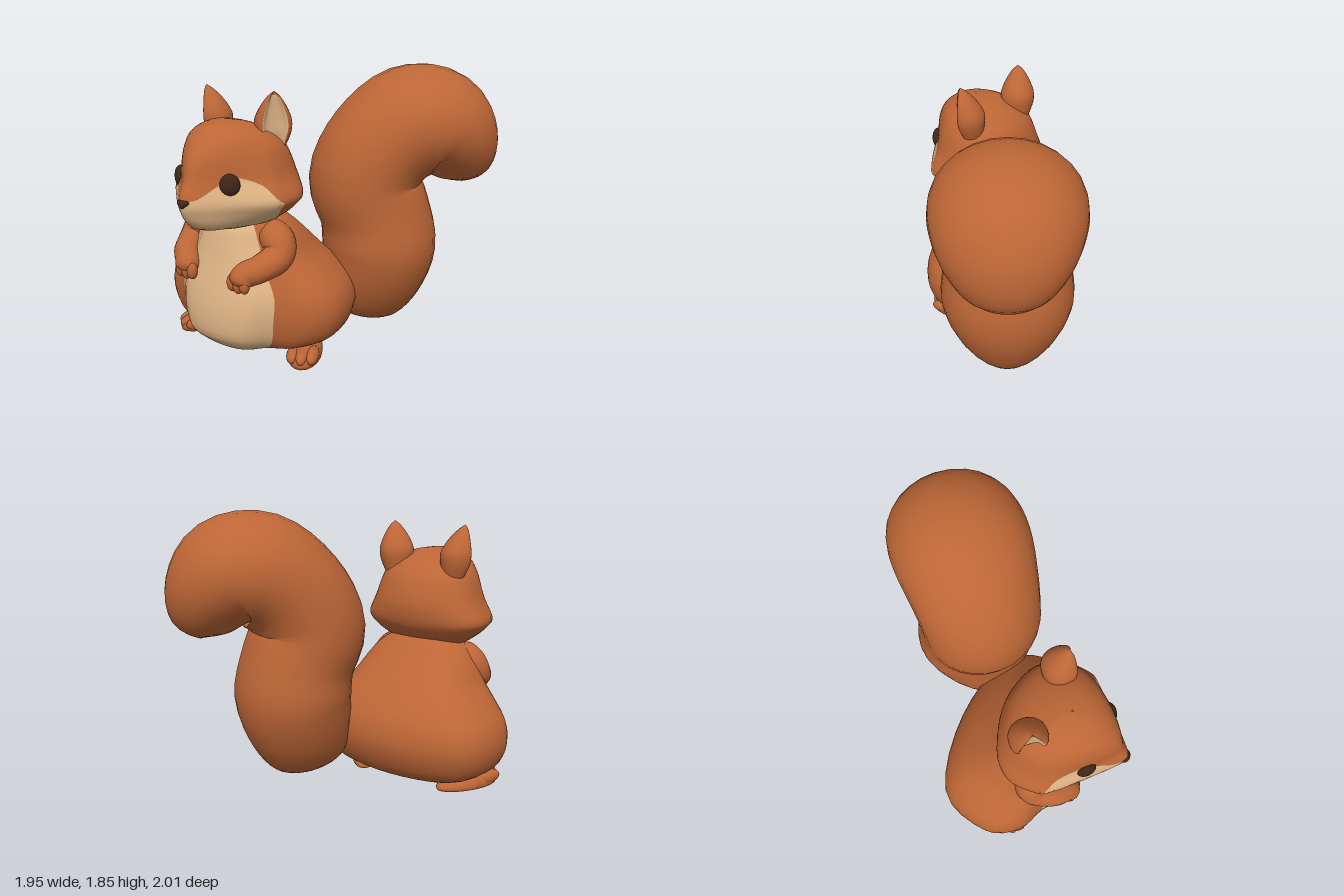
import * as THREE from 'three';

const CX = -0.295; // middle of the animal's body; the tail swings to its left
const mat = (name, color) => Object.assign(new THREE.MeshStandardMaterial({ color }), { name });

// Catmull-Rom through rows of numbers; t counts rows
function spline(keys, t, closed = false) {
  const n = keys.length;
  const i = closed ? Math.floor(t) : Math.min(Math.floor(t), n - 2);
  const f = t - i;
  const at = k => keys[closed ? (k + n) % n : Math.max(0, Math.min(n - 1, k))];
  const [a, b, c, d] = [at(i - 1), at(i), at(i + 1), at(i + 2)];
  return b.map((_, k) => b[k] + 0.5 * f * (c[k] - a[k] + f * (2 * a[k] - 5 * b[k] + 4 * c[k] - d[k]
    + f * (3 * (b[k] - c[k]) + d[k] - a[k]))));
}

// Smooth skin over rings; point(i, j) gives a position, second(i, j) picks the second material
function skin(cols, rows, point, second = () => false) {
  const pos = [], lists = [[], []];
  for (let j = 0; j <= rows; j++) for (let i = 0; i < cols; i++) pos.push(...point(i, j));
  for (let j = 0; j < rows; j++) for (let i = 0; i < cols; i++) {
    const a = j * cols + i, b = j * cols + (i + 1) % cols;
    lists[second(i, j) ? 1 : 0].push(a, b, b + cols, a, b + cols, a + cols);
  }
  const index = [...lists[0], ...lists[1]];
  // turn all faces outward
  const v = k => new THREE.Vector3().fromArray(pos, k * 3);
  let volume = 0;
  for (let k = 0; k < index.length; k += 3) volume += v(index[k]).dot(v(index[k + 1]).cross(v(index[k + 2])));
  if (volume < 0) for (let k = 0; k < index.length; k += 3) [index[k], index[k + 1]] = [index[k + 1], index[k]];
  const g = new THREE.BufferGeometry();
  g.setAttribute('position', new THREE.Float32BufferAttribute(pos, 3));
  g.setIndex(index);
  g.addGroup(0, lists[0].length, 0);
  g.addGroup(lists[0].length, lists[1].length, 1);
  g.computeVertexNormals();
  return g;
}

// Tube along keys [x, y, z, thickness, width]; width runs along the hint direction
function limb(keys, hint, cols, rows) {
  const at = t => spline(keys, t), last = keys.length - 1;
  const vec = t => new THREE.Vector3(...at(t).slice(0, 3));
  return skin(cols, rows, (i, j) => {
    const t = j / rows * last, k = at(t), a = i / cols * Math.PI * 2;
    const tangent = vec(Math.min(last, t + 0.5)).sub(vec(Math.max(0, t - 0.5))).normalize();
    const side = hint.clone().addScaledVector(tangent, -hint.dot(tangent)).normalize();
    const up = tangent.clone().cross(side);
    return vec(t).addScaledVector(side, Math.cos(a) * Math.max(0, k[4]))
      .addScaledVector(up, Math.sin(a) * Math.max(0, k[3])).toArray();
  });
}

// Closed outline from half an outline that runs front centre to back centre
const mirrorOutline = half => [...half, ...half.slice(1, -1).reverse().map(([x, z]) => [-x, z])];

function bodyGeometry() {
  // y, belly half width, belly edge z, front z, half width, side z, back z
  const rings = [
    [0.042, 0, 0.45, 0.45, 0, 0.45, 0.45], [0.048, 0.13, 0.49, 0.57, 0.19, 0.36, 0.2],
    [0.075, 0.23, 0.53, 0.65, 0.38, 0.3, 0.03], [0.12, 0.3, 0.57, 0.71, 0.53, 0.3, -0.06],
    [0.2, 0.35, 0.6, 0.78, 0.63, 0.3, -0.13], [0.34, 0.375, 0.62, 0.79, 0.675, 0.3, -0.18],
    [0.48, 0.38, 0.61, 0.77, 0.65, 0.3, -0.165], [0.6, 0.33, 0.6, 0.74, 0.56, 0.32, -0.1],
    [0.72, 0.28, 0.59, 0.71, 0.455, 0.36, 0.0], [0.82, 0.24, 0.58, 0.69, 0.4, 0.4, 0.1],
    [0.92, 0.2, 0.57, 0.66, 0.33, 0.44, 0.2], [1.0, 0.1, 0.52, 0.57, 0.19, 0.43, 0.29],
    [1.02, 0, 0.43, 0.43, 0, 0.43, 0.43]];
  const rows = 36;
  return skin(48, rows, (i, j) => {
    const [y, bx, bz, zf, sx, sz, zb] = spline(rings, j / rows * 12);
    const outline = mirrorOutline([[0, zf], [bx * 0.6, bz + (zf - bz) * 0.78], [bx, bz],
      [bx + (sx - bx) * 0.65, bz - (bz - sz) * 0.3], [sx, sz], [sx * 0.8, sz + (zb - sz) * 0.75], [0, zb]]);
    const [x, z] = spline(outline, i / 4, true);
    return [CX + x, y, z];
  }, i => i < 8 || i >= 40);
}

function headGeometry() {
  // y, half width, front z, back z, roundness
  const rings = [
    [0.92, 0.02, 0.6, 0.56, 1], [0.935, 0.23, 0.83, 0.36, 0.6], [0.99, 0.33, 0.92, 0.27, 0.25],
    [1.05, 0.39, 0.965, 0.21, 0], [1.11, 0.43, 0.985, 0.175, 0], [1.18, 0.4, 0.975, 0.16, 0],
    [1.25, 0.37, 0.935, 0.16, 0.1], [1.35, 0.345, 0.905, 0.19, 0.3], [1.43, 0.315, 0.86, 0.235, 0.5],
    [1.5, 0.25, 0.79, 0.32, 0.8], [1.555, 0.14, 0.7, 0.45, 1], [1.575, 0.004, 0.58, 0.57, 1]];
  const wedge = [[0, 1], [0.2, 0.89], [0.5, 0.66], [0.86, 0.36], [1, 0.16], [0.98, -0.38], [0.68, -0.8], [0, -1]];
  // height of the pale cheek's upper edge, in rings, from nose to cheek
  const edge = [[4.6], [4.75], [6.2], [5.6], [3.9]];
  const cols = 56, rows = 30, split = 13;
  return skin(cols, rows, (i, j) => {
    const u = Math.min(i, cols - i) / 4, e = u >= 4 ? 3.9 : spline(edge, u)[0];
    const t = j <= split ? e * j / split : e + (11 - e) * (j - split) / (rows - split);
    const [y, w, zf, zb, round] = spline(rings, t);
    const outline = mirrorOutline(wedge.map(([x, z], k) => {
      const a = k / 7 * Math.PI;
      return [x + (Math.sin(a) - x) * round, z + (Math.cos(a) - z) * round];
    }));
    const [x, z] = spline(outline, i / 4, true);
    const mid = Math.min(zf, Math.max(zb, 0.47 + 0.1 * Math.max(0, round - 0.5)));
    return [CX + x * w, y, mid + z * (z > 0 ? zf - mid : mid - zb)];
  }, (i, j) => j < split && (i < 16 || i >= cols - 16));
}

function earGeometry() {
  // height, half width, forward shift; the hollow faces +z
  const rings = [[0, 0.07, -0.02], [0.1, 0.108, 0], [0.18, 0.115, 0.005], [0.26, 0.085, 0.02],
    [0.33, 0.04, 0.04], [0.365, 0, 0.05]];
  const outline = mirrorOutline([[0, 0.28], [0.42, 0.34], [0.68, 0.62], [0.95, 0.35], [0.97, -0.3], [0.62, -0.8], [0, -0.98]]);
  return skin(36, 20, (i, j) => {
    const [y, w, shift] = spline(rings, j / 4);
    const [x, z] = spline(outline, i / 3, true);
    return [x * w, y, z * w + shift];
  }, (i, j) => j < 17 && (i < 6 || i >= 30));
}

export function createModel() {
  const group = new THREE.Group();
  group.name = 'squirrel';
  const fur = mat('russet fur', 0xbd6636), pale = mat('cream fur', 0xe0b686), dark = mat('dark brown', 0x402619);
  const add = (name, geometry, material, parent = group) => {
    const m = new THREE.Mesh(geometry, material);
    m.name = name;
    parent.add(m);
    return m;
  };
  const ball = (name, material, p, s, parent = group) => {
    const m = add(name, new THREE.SphereGeometry(1, 20, 14), material, parent);
    m.position.set(...p);
    m.scale.set(...s);
    return m;
  };

  add('body', bodyGeometry(), [fur, pale]);
  add('head', headGeometry(), [fur, pale]);

  // nose, narrowing downwards
  const nose = ball('nose', dark, [CX, 1.13, 0.966], [0.054, 0.03, 0.032]);
  const np = nose.geometry.attributes.position;
  for (let i = 0; i < np.count; i++) np.setX(i, np.getX(i) * (0.7 + 0.45 * np.getY(i)));
  nose.geometry.computeVertexNormals();

  // tail: [distance out along the diagonal, y, thickness, width]
  const tail = [[0.27, 0.1, 0, 0], [0.275, 0.115, 0.15, 0.1], [0.3, 0.2, 0.27, 0.22], [0.36, 0.39, 0.35, 0.35],
    [0.41, 0.64, 0.39, 0.43], [0.37, 0.88, 0.375, 0.41], [0.3, 1.1, 0.375, 0.4], [0.4, 1.32, 0.365, 0.42],
    [0.6, 1.47, 0.375, 0.45], [0.8, 1.45, 0.365, 0.44], [0.93, 1.3, 0.3, 0.37], [0.99, 1.13, 0.19, 0.23], [1.0, 1.04, 0, 0]];
  add('tail', limb(tail.map(([s, y, a, b]) => [s * 0.707, y, -0.03 - s * 0.707, a, b]),
    new THREE.Vector3(0.707, 0, 0.707), 28, 48), fur);

  for (const m of [-1, 1]) {
    const side = m > 0 ? 'left' : 'right';

    const ear = add(side + 'Ear', earGeometry(), [fur, pale]);
    ear.position.set(CX + m * 0.232, 1.383, 0.4);
    ear.rotation.y = m * 0.85;

    const eye = ball(side + 'Eye', dark, [CX + m * 0.196, 1.23, 0.778], [0.062, 0.07, 0.038]);
    eye.rotation.y = m * 0.7;

    // arm bent at the elbow, paw hanging in front of the chest
    const arm = [[0.2, 0.9, 0.48, 0], [0.24, 0.88, 0.48, 0.09], [0.315, 0.82, 0.48, 0.11], [0.345, 0.735, 0.53, 0.1],
      [0.3, 0.685, 0.65, 0.088], [0.24, 0.655, 0.71, 0.083], [0.22, 0.61, 0.735, 0.075], [0.215, 0.56, 0.75, 0]];
    add(side + 'Arm', limb(arm.map(([x, y, z, r]) => [CX + m * x, y, z, r, r]),
      new THREE.Vector3(m * 0.5, 0.5, 0.7).normalize(), 16, 35), fur);
    for (const k of [-1, 0, 1])
      ball(side + 'Finger', fur, [CX + m * (0.215 + k * 0.048), 0.597 + Math.abs(k) * 0.008, 0.755], [0.034, 0.058, 0.036]);

    // flat-soled foot splayed outward
    const foot = new THREE.Group();
    foot.name = side + 'Foot';
    foot.position.set(CX + m * 0.41, 0, 0.315);
    foot.rotation.y = m * 0.45;
    group.add(foot);
    const sole = ball(side + 'Sole', fur, [0, 0.022, 0], [0.11, 0.085, 0.245], foot);
    const sp = sole.geometry.attributes.position;
    for (let i = 0; i < sp.count; i++) {
      sp.setY(i, Math.max(-0.22, sp.getY(i)) * (1 + 0.25 * sp.getZ(i)));
      sp.setX(i, sp.getX(i) * (1 + 0.12 * sp.getZ(i)));
    }
    sole.geometry.computeVertexNormals();
    for (const k of [-1, 0, 1])
      ball(side + 'Toe', fur, [k * 0.062, 0.052, 0.15 - Math.abs(k) * 0.02], [0.045, 0.05, 0.1], foot);
  }
  return group;
}
